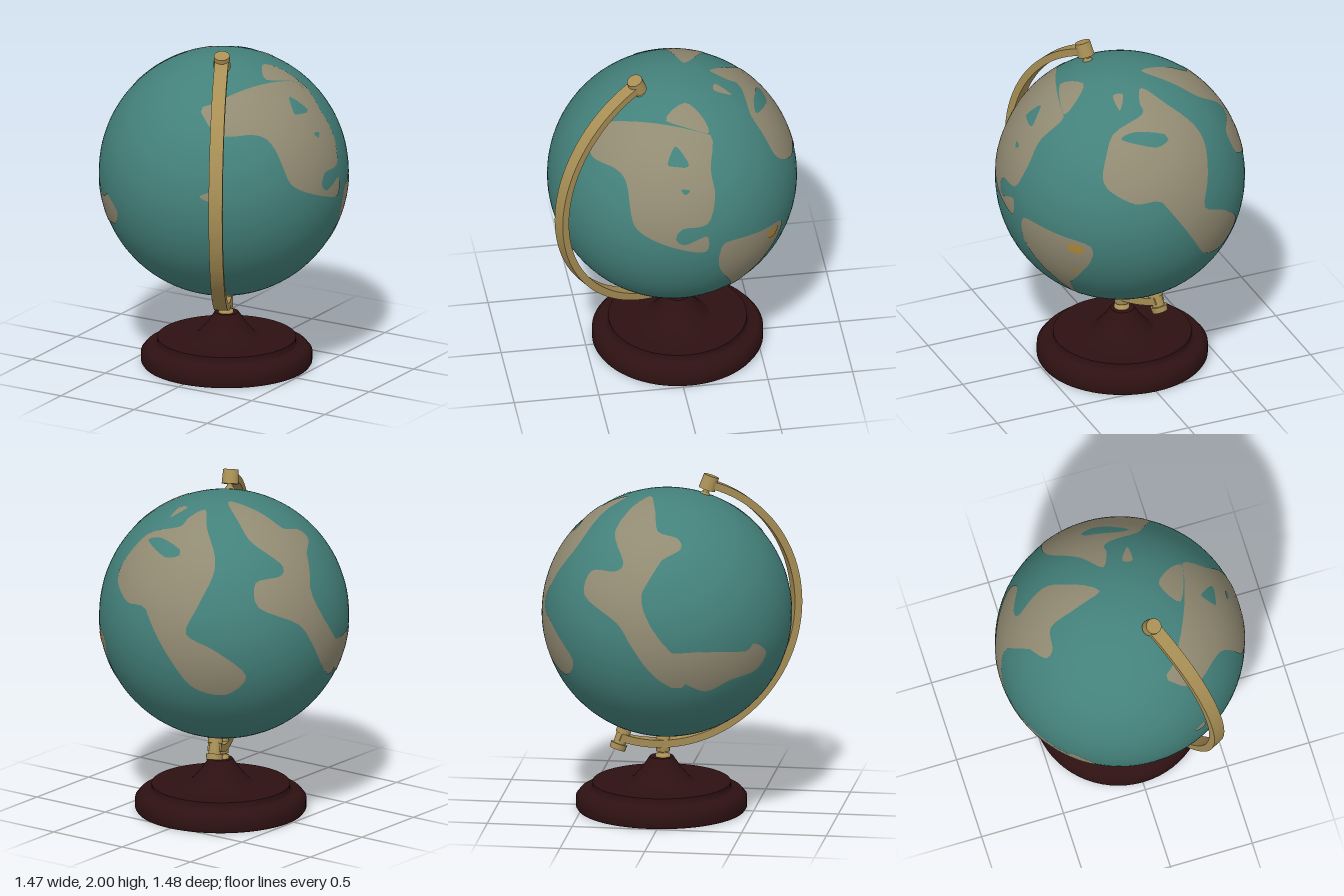
import * as THREE from 'three';

const R = 0.73;
const CENTRE_Y = 1.185;
const rad = THREE.MathUtils.degToRad;

const mat = (name, color, side = THREE.FrontSide) => {
  const m = new THREE.MeshStandardMaterial({ color, side });
  m.name = name;
  return m;
};

// Smooth closed curve through flat points given in hundredths of the globe radius
function coast(list) {
  const pts = [];
  for (let i = 0; i < list.length; i += 2) pts.push(new THREE.Vector3(list[i] / 100, list[i + 1] / 100, 0));
  const curve = new THREE.CatmullRomCurve3(pts, true, 'catmullrom', 0.45);
  return curve.getPoints(pts.length * 4).slice(0, -1).map((p) => new THREE.Vector2(p.x, p.y));
}

// Thin patch on the sphere, facing an azimuth and elevation: wrap a flat outline, then split it to follow the curve
function patchGeometry(az, el, lift, outline, holes) {
  const a = rad(az), e = rad(el);
  const right = new THREE.Vector3(Math.cos(a), 0, -Math.sin(a));
  const out = new THREE.Vector3(Math.sin(a) * Math.cos(e), Math.sin(e), Math.cos(a) * Math.cos(e));
  const up = out.clone().cross(right);
  const shape = new THREE.Shape(coast(outline));
  shape.holes = holes.map((h) => new THREE.Path(coast(h)));
  const flat = new THREE.ShapeGeometry(shape);
  const p = flat.attributes.position;
  const corner = (i) => {
    const u = p.getX(i), v = p.getY(i);
    const w = Math.sqrt(Math.max(0, 1 - u * u - v * v));
    return new THREE.Vector3().addScaledVector(right, u).addScaledVector(up, v).addScaledVector(out, w).normalize();
  };
  const normals = [];
  // Halve the longest edge until the triangle is small
  const split = (A, B, C) => {
    const ab = A.distanceTo(B), bc = B.distanceTo(C), ca = C.distanceTo(A);
    if (bc > ab && bc >= ca) return split(B, C, A);
    if (ca > ab) return split(C, A, B);
    if (ab < 0.09) {
      for (const q of [A, B, C]) normals.push(q.x, q.y, q.z);
      return;
    }
    const M = A.clone().add(B).normalize();
    split(A, M, C);
    split(M, B, C);
  };
  const idx = flat.index;
  for (let i = 0; i < idx.count; i += 3) {
    split(corner(idx.getX(i)), corner(idx.getX(i + 1)), corner(idx.getX(i + 2)));
  }
  const geo = new THREE.BufferGeometry();
  geo.setAttribute('position', new THREE.Float32BufferAttribute(normals.map((n) => n * R * lift), 3));
  geo.setAttribute('normal', new THREE.Float32BufferAttribute(normals, 3));
  return geo;
}

const lathe = (profile, segments) =>
  new THREE.LatheGeometry(profile.map(([r, y]) => new THREE.Vector2(r, y)), segments);

export function createModel() {
  const ocean = mat('ocean teal', 0x44817b);
  const land = mat('land tan', 0x928b73, THREE.DoubleSide);
  const highland = mat('highland ochre', 0xb08a3a, THREE.DoubleSide);
  const brass = mat('brass', 0xa88f55);
  const wood = mat('dark wood', 0x2e1112);

  const model = new THREE.Group();
  model.name = 'deskGlobe';
  const add = (parent, name, geo, material, y = 0, z = 0) => {
    const mesh = new THREE.Mesh(geo, material);
    mesh.name = name;
    mesh.position.set(0, y, z);
    parent.add(mesh);
  };

  // Globe
  const globe = new THREE.Group();
  globe.name = 'globe';
  globe.position.set(0, CENTRE_Y, -0.01);
  model.add(globe);
  add(globe, 'ocean', new THREE.SphereGeometry(R, 80, 56), ocean);

  // Land patches
  const addLand = (name, az, el, outline, ...holes) =>
    add(globe, name, patchGeometry(az, el, 1.004, outline, holes), land);
  addLand('northWestContinent', 90, 0,
    [-71, 65, -58, 77, -8, 80, 22, 78, 19, 59, 21, 40, 14, 19, -6, 17, -12, 8, -5, 2, 13, 8, 12, -7,
      -12, -1, -35, 9, -45, 20, -48, 49, -56, 56, -71, 56],
    [-8, 75, -1, 69, 1, 63, -15, 63], [-6, 48, 1, 47, -3, 44]);
  addLand('southWestContinent', 90, 0,
    [24, -11, 30, -2, 58, -5, 79, -11, 73, -32, 49, -58, 35, -81, 36, -58, 24, -28]);
  addLand('centralContinent', 215, 25,
    [-83, 16, -80, 32, -60, 55, -34, 59, -27, 67, -14, 74, -12, 57, -5, 33, -6, 16, -18, -9, -27, -30,
      -4, -43, 21, -61, 4, -75, -24, -68, -47, -37, -60, -8, -75, -1],
    [-59, 49, -48, 50, -31, 36, -45, 33]);
  addLand('easternContinent', 215, 25,
    [4, 82, 29, 73, 48, 60, 60, 61, 68, 53, 67, 34, 73, 4, 90, -24, 95, -29, 84, -51, 73, -33, 62, -19,
      31, -9, 28, 11, 47, 18, 48, 28, 24, 45, 14, 61]);
  addLand('southEastContinent', 0, 0,
    [-98, -8, -68, -12, -61, -7, -47, -18, -53, -31, -71, -35, -80, -43, -93, -30]);
  addLand('northernIsland', 0, 90, [58, 19, 47, 18, 34, 5, 47, -12]);
  addLand('smallNorthernIsland', 0, 90, [12, 33, 20, 45, 20, 31]);
  addLand('oceanIsland', 0, 0, [34, 10, 43, 6, 43, 14]);

  // Ochre highlands
  const addHighland = (name, az, el, outline) =>
    add(globe, name, patchGeometry(az, el, 1.008, outline, []), highland);
  addHighland('largeHighland', 90, 0, [66, -12, 75, -12, 72, -20, 66, -18]);
  addHighland('smallHighland', 140, -30, [-12, 13, -8, 13, -10, 8]);

  // Turned wooden base; repeated points keep the steps crisp
  add(model, 'base', lathe([[0, 0], [0.49, 0], [0.49, 0], [0.5, 0.015], [0.5, 0.075], [0.475, 0.105],
    [0.455, 0.107], [0.455, 0.107], [0.42, 0.12], [0.405, 0.13], [0.405, 0.16], [0.405, 0.16],
    [0.2, 0.165], [0.17, 0.18], [0.11, 0.25], [0.07, 0.312], [0.07, 0.312], [0, 0.312]], 64), wood, 0, -0.043);

  // Brass stem joining base and arm
  add(model, 'stem', lathe([[0.045, 0.31], [0.045, 0.325], [0.025, 0.33], [0.025, 0.34], [0.042, 0.345],
    [0.042, 0.43], [0.018, 0.445], [0.018, 0.47]], 24), brass, 0, -0.035);

  // Tilted support: local x points out along the plane of the arm
  const support = new THREE.Group();
  support.name = 'support';
  support.position.set(0, CENTRE_Y, -0.025);
  support.rotation.y = -1.093;
  model.add(support);

  const from = rad(-113), to = rad(72);
  const band = new THREE.Shape();
  band.absarc(0, 0, 0.8125, from, to, false);
  band.absarc(0, 0, 0.7675, to, from, true);
  const armGeo = new THREE.ExtrudeGeometry(band, { depth: 0.08, bevelEnabled: false, curveSegments: 48 });
  armGeo.translate(0.025, 0, -0.04);
  add(support, 'arm', armGeo, brass);

  // Pivots along the axis of the globe: knob, pin and collar at each end
  const axis = new THREE.Group();
  axis.name = 'axis';
  axis.rotation.z = rad(-20);
  support.add(axis);
  const pivot = (name, top, bottom, h, y) =>
    add(axis, name, new THREE.CylinderGeometry(top, bottom, h, 20), brass, y);
  pivot('topKnob', 0.046, 0.05, 0.085, 0.805);
  pivot('topPin', 0.018, 0.018, 0.1, 0.75);
  pivot('topCollar', 0.022, 0.036, 0.025, 0.735);
  pivot('bottomKnob', 0.036, 0.036, 0.11, -0.782);
  pivot('bottomFlange', 0.05, 0.046, 0.035, -0.838);
  pivot('bottomCollar', 0.044, 0.044, 0.03, -0.742);

  return model;
}
